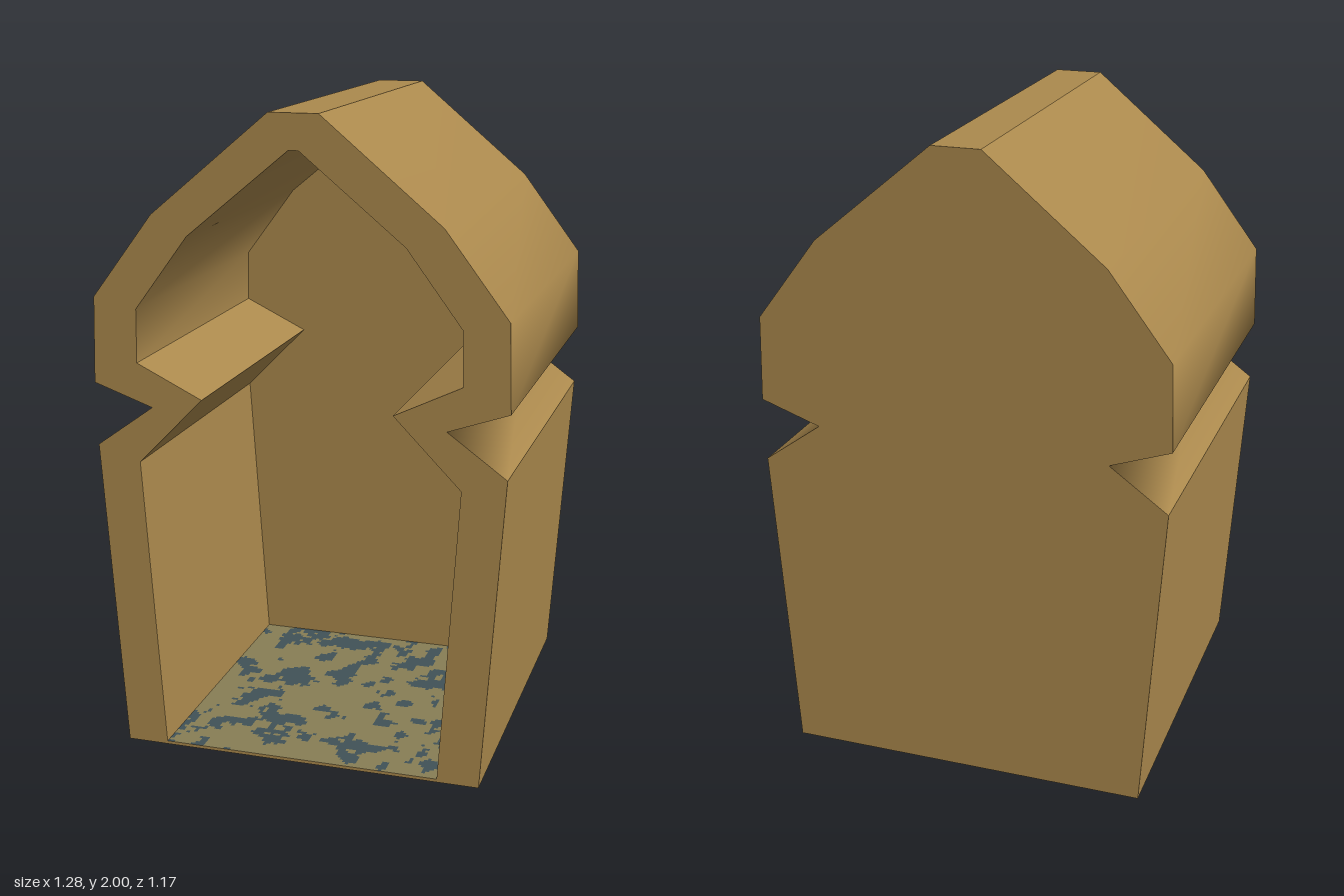
import * as THREE from 'three';

const FRONT = 0.583, BACK = -0.583, NICHE_BACK = -0.39, FLOOR_Y = 0.01;

// Right half of each outline, from the bottom up; every chain is smooth within itself
const outerChains = [
  [[0.57, 0], [0.635, 0.98]],
  [[0.635, 0.98], [0.455, 1.11], [0.64, 1.175], [0.632, 1.44], [0.44, 1.695], [0.075, 2]],
];
const innerChains = [
  [[0.44, FLOOR_Y], [0.5, 0.935]],
  [[0.5, 0.935], [0.295, 1.145]],
  [[0.295, 1.145], [0.5, 1.245]],
];
const innerVault = [[0.5, 1.245], [0.497, 1.41], [0.33, 1.635], [0.015, 1.895]];

const mirror = (pts) => pts.map(([x, y]) => [-x, y]).reverse();

// Sweeps an open chain of points along z; walking counterclockwise faces outward
function sweep(pts, zFront, zBack) {
  const pos = [], index = [];
  pts.forEach(([x, y], i) => {
    pos.push(x, y, zFront, x, y, zBack);
    if (i) {
      const a = 2 * i - 2;
      index.push(a, a + 1, a + 3, a, a + 3, a + 2);
    }
  });
  const g = new THREE.BufferGeometry();
  g.setAttribute('position', new THREE.Float32BufferAttribute(pos, 3));
  g.setIndex(index);
  g.computeVertexNormals();
  return g;
}

// Full closed outline from the right-hand points
const outline = (half) => [...half, ...mirror(half)].map(([x, y]) => new THREE.Vector2(x, y));

// Smooth value noise for the floor mottling
function hash(i, j) {
  const s = Math.sin(i * 127.1 + j * 311.7) * 43758.5453;
  return s - Math.floor(s);
}
function noise(x, y) {
  const i = Math.floor(x), j = Math.floor(y);
  const u = THREE.MathUtils.smoothstep(x - i, 0, 1), v = THREE.MathUtils.smoothstep(y - j, 0, 1);
  const { lerp } = THREE.MathUtils;
  return lerp(lerp(hash(i, j), hash(i + 1, j), u), lerp(hash(i, j + 1), hash(i + 1, j + 1), u), v);
}

// Floor grid whose cells are sorted into two colour groups
function mottledFloor() {
  const n = 80, w = 0.88, d = FRONT - NICHE_BACK;
  const g = new THREE.PlaneGeometry(w, d, n, n);
  g.rotateX(-Math.PI / 2);
  g.translate(0, FLOOR_Y, (FRONT + NICHE_BACK) / 2);
  const src = g.index.array, base = [], spots = [];
  for (let c = 0; c < n * n; c++) {
    const x = c % n, y = Math.floor(c / n);
    const value = 0.7 * noise(x / 4.5, y / 4.5) + 0.3 * noise(x / 1.7 + 40, y / 1.7 + 9);
    const list = value > 0.6 ? spots : base;
    for (let k = 0; k < 6; k++) list.push(src[c * 6 + k]);
  }
  g.setIndex([...base, ...spots]);
  g.clearGroups();
  g.addGroup(0, base.length, 0);
  g.addGroup(base.length, spots.length, 1);
  return g;
}

export function createModel() {
  const flat = (name, color) => {
    const m = new THREE.MeshStandardMaterial({ color, side: THREE.DoubleSide });
    m.name = name;
    return m;
  };
  const tan = flat('tan', 0xab894d);
  const khaki = flat('khaki', 0x877e55);
  const slate = flat('slate', 0x405257);

  const model = new THREE.Group();
  model.name = 'shelter';
  const add = (name, geometry, material = tan) => {
    const mesh = new THREE.Mesh(geometry, material);
    mesh.name = name;
    model.add(mesh);
    return mesh;
  };

  // Outer shell, open underneath
  const shellNames = ['outerWall', 'outerRoof'];
  outerChains.forEach((pts, i) => {
    add(shellNames[i] + 'Left', sweep(pts, FRONT, BACK));
    add(shellNames[i] + 'Right', sweep(mirror(pts), FRONT, BACK));
  });
  add('roofRidge', sweep([[0.075, 2], [-0.075, 2]], FRONT, BACK));

  // Niche lining, walked backwards so it faces inward
  const liningNames = ['innerWall', 'innerLedgeUnderside', 'innerLedge'];
  innerChains.forEach((pts, i) => {
    add(liningNames[i] + 'Left', sweep([...pts].reverse(), FRONT, NICHE_BACK));
    add(liningNames[i] + 'Right', sweep(mirror(pts).reverse(), FRONT, NICHE_BACK));
  });
  add('innerVault', sweep([...innerVault, ...mirror(innerVault)].reverse(), FRONT, NICHE_BACK));

  // Front frame, back wall and niche back
  const outerHalf = [outerChains[0][0], ...outerChains[1]];
  const innerHalf = [...innerChains.map((c) => c[0]), ...innerVault];
  const frame = new THREE.Shape(outline(outerHalf));
  frame.holes.push(new THREE.Path(outline(innerHalf)));
  add('frontFrame', new THREE.ShapeGeometry(frame)).position.z = FRONT;

  const back = add('backWall', new THREE.ShapeGeometry(new THREE.Shape(outline(outerHalf))));
  back.rotation.y = Math.PI;
  back.position.z = BACK;

  add('nicheBack', new THREE.ShapeGeometry(new THREE.Shape(outline(innerHalf)))).position.z = NICHE_BACK;

  // Mottled floor
  add('floor', mottledFloor(), [khaki, slate]);

  return model;
}
